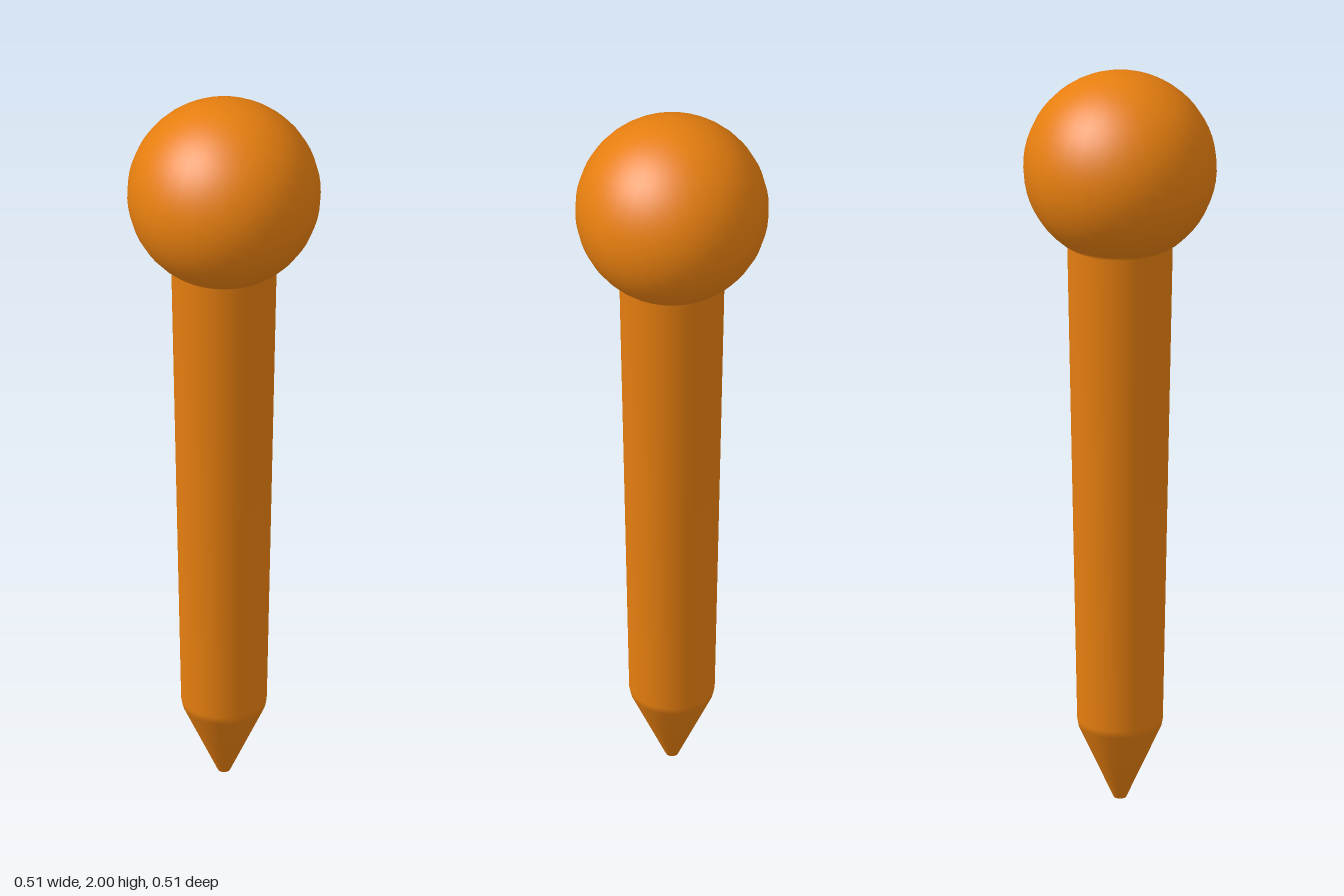
import * as THREE from 'three';

export function createModel() {
  const group = new THREE.Group();
  group.name = 'peg';
  const material = new THREE.MeshStandardMaterial({ color: 0xe67e0f });

  // Blunt tip, pointed end and gently widening shaft
  const neckRadius = 0.138;
  const profile = [[0, 0], [0.016, 0], [0.108, 0.2], [0.112, 0.22]]
    .map(([r, y]) => new THREE.Vector2(r, y));

  // Ball head, from the neck round to the top
  const headRadius = 0.253;
  const headY = 2 - headRadius;
  const start = Math.asin(neckRadius / headRadius);
  const steps = 24;
  for (let i = 0; i <= steps; i++) {
    const a = start + (Math.PI - start) * i / steps;
    const r = i === steps ? 0 : headRadius * Math.sin(a);
    profile.push(new THREE.Vector2(r, headY - headRadius * Math.cos(a)));
  }

  // One turned body, so the shading flows from shaft to ball
  const body = new THREE.Mesh(new THREE.LatheGeometry(profile, 32), material);
  body.name = 'shaftAndBallHead';
  group.add(body);
  return group;
}
